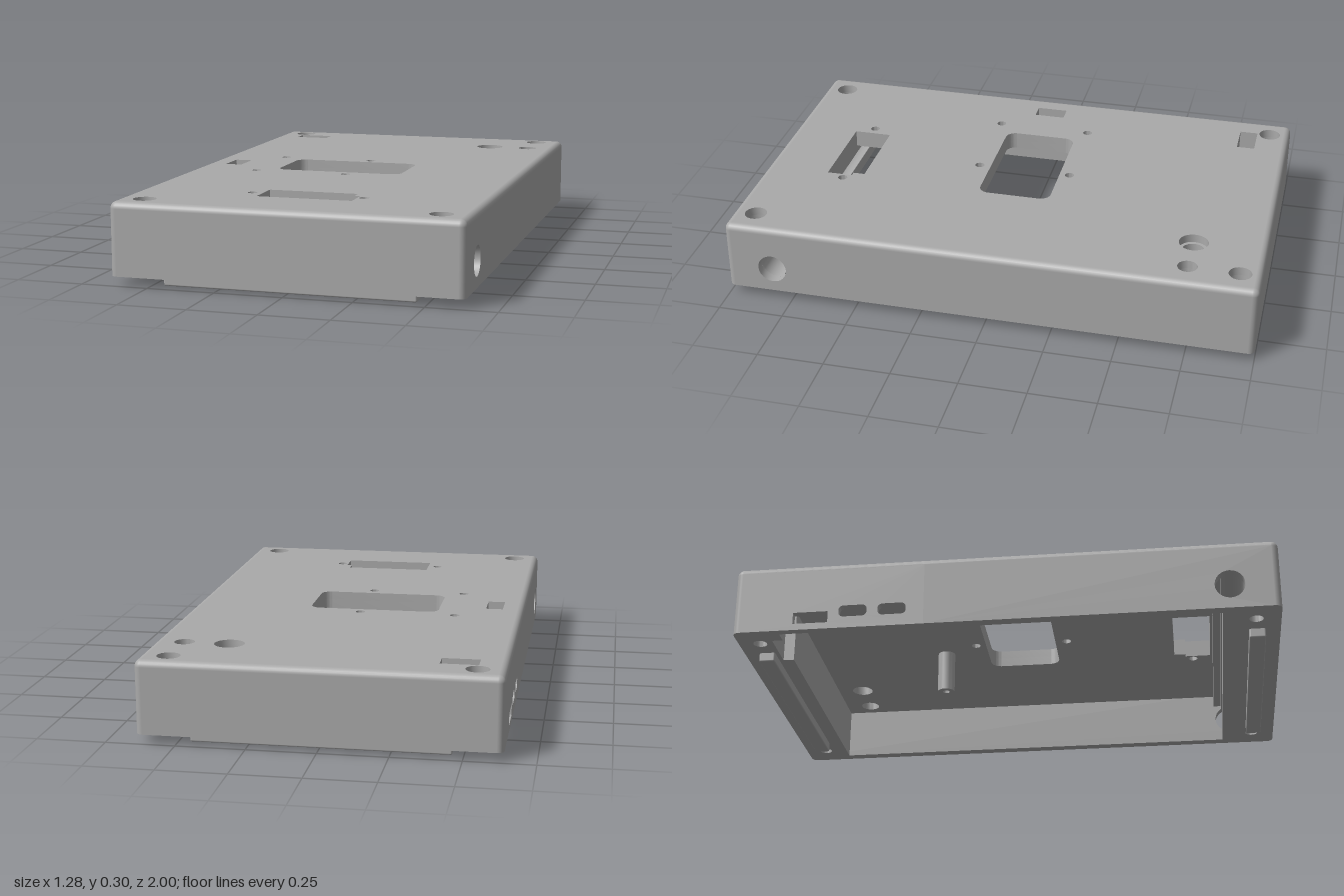
import * as THREE from 'three';
import { toCreasedNormals } from 'three/addons/utils/BufferGeometryUtils.js';
import { RoundedBoxGeometry } from 'three/addons/geometries/RoundedBoxGeometry.js';

const W = 0.64, D = 1, R = 0.025;              // half width, half depth, edge fillet
const BASE = 0.035, CEIL = 0.235, MID = 0.27, TOP = 0.302;

const poly = (pts) => new THREE.Shape(pts.map(([a, b]) => new THREE.Vector2(a, b)));
const rect = (a0, b0, a1, b1) => poly([[a0, b0], [a1, b0], [a1, b1], [a0, b1]]);
const circle = (a, b, r) => new THREE.Shape().absarc(a, b, r, 0, Math.PI * 2, false);
function roundRect(a0, b0, a1, b1, r) {
  const s = new THREE.Shape();
  s.absarc(a1 - r, b1 - r, r, 0, Math.PI / 2, false);
  s.absarc(a0 + r, b1 - r, r, Math.PI / 2, Math.PI, false);
  s.absarc(a0 + r, b0 + r, r, Math.PI, Math.PI * 1.5, false);
  s.absarc(a1 - r, b0 + r, r, Math.PI * 1.5, Math.PI * 2, false);
  s.closePath();
  return s;
}
function extrude(shape, depth, holes) {
  shape.holes.push(...holes);
  return new THREE.ExtrudeGeometry(shape, { depth, bevelEnabled: false, curveSegments: 12 });
}
// shape in (x, z), standing between y0 and y1
const alongY = (shape, y0, y1, holes = []) =>
  toCreasedNormals(extrude(shape, y1 - y0, holes).rotateX(Math.PI / 2).translate(0, y1, 0), 0.7);
// shape in (z, y), running between x0 and x1
const alongX = (shape, x0, x1, holes = []) =>
  toCreasedNormals(extrude(shape, x1 - x0, holes).rotateY(-Math.PI / 2).translate(x1, 0, 0), 0.7);

// Quarter-round running round the top edge, with ball corners
function topFillet() {
  const pos = [], nor = [], idx = [], N = 6, n = 4 * (N + 1);
  const corners = [[1, 1], [-1, 1], [-1, -1], [1, -1]];
  for (let j = 0; j <= N; j++) {
    const t = (j / N) * Math.PI / 2;
    corners.forEach(([sx, sz], c) => {
      for (let i = 0; i <= N; i++) {
        const a = (c + i / N) * Math.PI / 2;
        const v = [Math.cos(t) * Math.cos(a), Math.sin(t), Math.cos(t) * Math.sin(a)];
        nor.push(...v);
        pos.push(sx * (W - R) + R * v[0], TOP - R + R * v[1], sz * (D - R) + R * v[2]);
      }
    });
  }
  for (let j = 0; j < N; j++) for (let i = 0; i < n; i++) {
    const a = j * n + i, b = j * n + (i + 1) % n;
    idx.push(a, a + n, b, a + n, b + n, b);
  }
  const g = new THREE.BufferGeometry();
  g.setAttribute('position', new THREE.Float32BufferAttribute(pos, 3));
  g.setAttribute('normal', new THREE.Float32BufferAttribute(nor, 3));
  g.setIndex(idx);
  return g;
}

export function createModel() {
  const model = new THREE.Group();
  model.name = 'enclosure';
  const grey = new THREE.MeshStandardMaterial({ color: 0xaaaaaa });
  grey.name = 'grey plastic';
  const add = (name, geo, x = 0, y = 0, z = 0) => {
    const m = new THREE.Mesh(geo, grey);
    m.name = name;
    m.position.set(x, y, z);
    model.add(m);
  };
  const box = (name, x0, x1, y0, y1, z0, z1) =>
    add(name, new THREE.BoxGeometry(x1 - x0, y1 - y0, z1 - z0), (x0 + x1) / 2, (y0 + y1) / 2, (z0 + z1) / 2);

  // Top plate: two layers, so the round button hole is stepped
  const screws = [[-0.54, -0.92], [0.535, -0.92], [-0.54, 0.91], [0.535, 0.91]];
  const plateHoles = (buttonRadius) => [
    ...screws.map(([x, z]) => circle(x, z, 0.042)),
    ...[[-0.385, -0.185], [-0.02, -0.185], [-0.385, 0.18], [-0.02, 0.18], [-0.22, 0.68], [0.2, 0.68]]
      .map(([x, z]) => circle(x, z, 0.018)),
    circle(0.365, -0.73, buttonRadius),
    circle(0.53, -0.73, 0.037),
    rect(-0.54, -0.87, -0.405, -0.8),
    rect(-0.56, -0.06, -0.495, 0.06),
    roundRect(-0.315, -0.145, 0.185, 0.135, 0.04),
    poly([[-0.18, 0.605], [0.155, 0.605], [0.155, 0.65], [0.175, 0.65], [0.175, 0.75], [-0.18, 0.75]]),
  ];
  const plate = () => rect(-W + R, -D + R, W - R, D - R);
  add('topPlateUpper', alongY(plate(), MID, TOP, plateHoles(0.055)));
  add('topPlateLower', alongY(plate(), CEIL, MID, plateHoles(0.042)));
  add('topEdgeFillet', topFillet());

  // Side walls with the cable holes and the ports
  const wallTop = TOP - R, cable = () => circle(0.82, 0.13, 0.055);
  add('leftWall', alongX(rect(-D + R, BASE, D - R, wallTop), 0.6, W, [cable()]));
  add('rightWall', alongX(rect(-0.29, BASE, D - R, wallTop), -W, -0.6, [cable()]));
  add('portWall', alongX(rect(-D + R, BASE, -0.29, wallTop), -W, -0.61, [
    rect(-0.775, 0.06, -0.645, 0.105),
    roundRect(-0.605, 0.08, -0.5, 0.125, 0.018),
    roundRect(-0.46, 0.08, -0.355, 0.125, 0.018),
  ]));

  // End walls and rounded upright corners
  box('frontWall', -W + R, W - R, BASE, wallTop, D - R, D);
  box('backWall', -W + R, W - R, BASE, wallTop, -D, -D + R);
  for (const x of [-1, 1]) for (const z of [-1, 1])
    add('corner', new THREE.CylinderGeometry(R, R, wallTop - BASE, 24),
      x * (W - R), (wallTop + BASE) / 2, z * (D - R));

  // Solid end blocks, drilled for the screws
  const bores = screws.map(([x, z]) => circle(x, z, 0.026));
  add('backBlock', alongY(poly([[-0.62, -0.98], [0.61, -0.98], [0.61, -0.83], [-0.39, -0.83],
    [-0.39, -0.87], [-0.56, -0.87], [-0.56, -0.83], [-0.62, -0.83]]), BASE, CEIL, bores.slice(0, 2)));
  add('frontBlock', alongY(rect(-0.61, 0.88, 0.61, 0.98), BASE, CEIL, bores.slice(2)));

  // Open cable channel along the front block
  const bend = Math.acos(-0.03 / 0.055);
  const channel = new THREE.Shape();
  channel.moveTo(0.88, CEIL);
  channel.lineTo(0.79, CEIL);
  channel.absarc(0.82, 0.13, 0.055, bend, -bend, true);
  channel.lineTo(0.79, BASE);
  channel.lineTo(0.88, BASE);
  channel.closePath();
  add('cableChannel', alongX(channel, -0.605, 0.605));
  box('channelLedge', -0.605, 0.605, 0.19, CEIL + 0.005, 0.76, 0.795);

  // Screw posts hanging from the ceiling
  for (const [x, r] of [[0.05, 0.034], [-0.58, 0.04]])
    add('screwPost', alongY(circle(x, -0.315, r), 0.07, CEIL + 0.005, [circle(x, -0.315, 0.014)]));

  // Foot rails
  for (const z of [-0.915, 0.915])
    add('footRail', new RoundedBoxGeometry(0.92, 0.045, 0.06, 3, 0.006), 0, 0.0225, z);

  return model;
}
